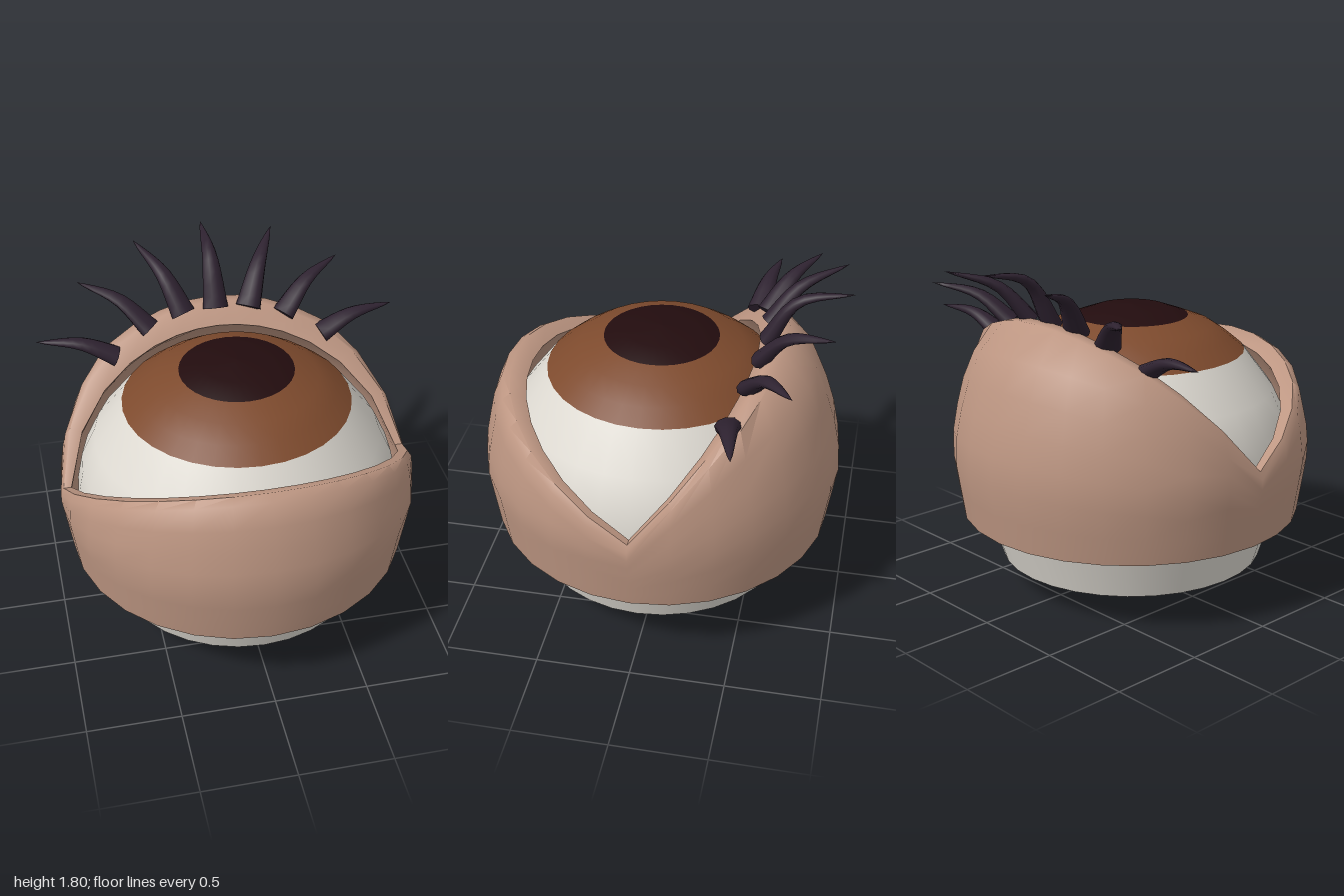
import * as THREE from 'three';
import { toCreasedNormals } from 'three/addons/utils/BufferGeometryUtils.js';

const mat = (name, color, side = THREE.FrontSide) => {
  const m = new THREE.MeshStandardMaterial({ color, side });
  m.name = name;
  return m;
};

function addMesh(parent, name, geometry, material) {
  const mesh = new THREE.Mesh(geometry, material);
  mesh.name = name;
  parent.add(mesh);
  return mesh;
}

const lathe = (points) =>
  new THREE.LatheGeometry(points.map(([r, y]) => new THREE.Vector2(r, y)), 32);

// Lid radius at a height: outer profile and inner sphere
const OUTER = [[0.41, 0.915], [0.75, 0.965], [0.9, 0.95], [1.12, 0.9], [1.36, 0.8], [1.555, 0.61], [1.7, 0.4]];
function outerRadius(y) {
  let i = 0;
  while (i < OUTER.length - 2 && y > OUTER[i + 1][0]) i++;
  const [y0, r0] = OUTER[i], [y1, r1] = OUTER[i + 1];
  return r0 + (r1 - r0) * (y - y0) / (y1 - y0);
}
const innerRadius = (y) => Math.sqrt(Math.max(0, 0.92 ** 2 - (y - 0.64) ** 2));

// Height where a lid surface meets the sloping opening, which dips to a corner at each side
function rimHeight(radius, angle) {
  const c = Math.cos(angle);
  const slope = c > 0 ? 0.56 : 1.2;
  let lo = 0.41, hi = 1.7;
  for (let i = 0; i < 40; i++) {
    const y = (lo + hi) / 2;
    if (y < 0.82 + slope * radius(y) * Math.abs(c)) lo = y;
    else hi = y;
  }
  return lo;
}

// Closed shell: up the outside, over the rounded rim, down the inside
function lidGeometry() {
  const segments = 28, steps = 7, bottom = 0.41;
  const positions = [], index = [];
  let rows = 0;
  for (let j = 0; j < segments; j++) {
    const angle = (j / segments) * Math.PI * 2;
    const yo = rimHeight(outerRadius, angle), yi = rimHeight(innerRadius, angle);
    const profile = [];
    for (let i = 0; i <= steps; i++) {
      const y = bottom + (yo - 0.04 - bottom) * i / steps;
      profile.push([outerRadius(y), y]);
    }
    const ro = outerRadius(yo), ri = innerRadius(yi);
    profile.push([ro + (ri - ro) * 0.25, yo + (yi - yo) * 0.25]);
    for (let i = 0; i <= steps; i++) {
      const y = yi + (bottom - yi) * i / steps;
      profile.push([innerRadius(y), y]);
    }
    rows = profile.length;
    for (const [r, y] of profile) positions.push(r * Math.sin(angle), y, r * Math.cos(angle));
  }
  for (let j = 0; j < segments; j++) {
    for (let i = 0; i < rows; i++) {
      const a = j * rows + i, d = j * rows + (i + 1) % rows;
      const k = (j + 1) % segments;
      const b = k * rows + i, c = k * rows + (i + 1) % rows;
      index.push(a, b, c, a, c, d);
    }
  }
  const g = new THREE.BufferGeometry();
  g.setAttribute('position', new THREE.Float32BufferAttribute(positions, 3));
  g.setIndex(index);
  return toCreasedNormals(g, 1.0);
}

// Curved, tapering, slightly flattened spike with a closed base
function lashGeometry(points) {
  const [base, mid, tip] = points.map((p) => new THREE.Vector3(...p));
  const curve = new THREE.CatmullRomCurve3([base, mid, tip]);
  const wide = mid.clone().sub(base).cross(tip.clone().sub(mid)).normalize();
  const n = 10, sides = 10;
  const g = new THREE.TubeGeometry(curve, n, 1, sides);
  const pos = g.attributes.position, v = new THREE.Vector3();
  for (let i = 0; i <= n; i++) {
    const from = curve.getPointAt(i / n);
    const t = Math.max(0, (i - 1) / (n - 1));
    const to = curve.getPointAt(t);
    const size = i === 0 ? 0 : Math.pow(1 - t, 0.75);
    for (let s = 0; s <= sides; s++) {
      const k = i * (sides + 1) + s;
      v.fromBufferAttribute(pos, k).sub(from);
      const w = v.dot(wide);
      v.addScaledVector(wide, -w).multiplyScalar(0.045 * size);
      v.addScaledVector(wide, w * 0.07 * size).add(to);
      pos.setXYZ(k, v.x, v.y, v.z);
    }
  }
  return toCreasedNormals(g, 1.0);
}

export function createModel() {
  const model = new THREE.Group();
  model.name = 'eye';
  const white = mat('eye white', 0xdedad2);
  const brown = mat('iris brown', 0x7d4a2d);
  const dark = mat('pupil dark', 0x220c0e);
  const skin = mat('lid skin', 0xbd9682, THREE.DoubleSide);
  const lashColor = mat('lash dark violet', 0x2e2230);

  // Eyeball, looking straight up
  const ball = new THREE.Group();
  ball.name = 'eyeball';
  ball.position.z = 0.02;
  model.add(ball);
  addMesh(ball, 'eyeballBase', lathe([[0, 0], [0.71, 0.15]]), white);
  addMesh(ball, 'eyeWhite', lathe([[0.71, 0.15], [0.79, 0.41], [0.865, 0.64], [0.868, 0.76],
    [0.835, 0.92], [0.76, 1.08], [0.604, 1.285]]), white);
  addMesh(ball, 'iris', lathe([[0.604, 1.285], [0.52, 1.355], [0.43, 1.416], [0.302, 1.465]]), brown);
  addMesh(ball, 'pupil', lathe([[0.302, 1.465], [0.19, 1.505], [0, 1.52]]), dark);

  // Eyelids
  addMesh(model, 'eyelids', lidGeometry(), skin).position.z = 0.012;

  // Lashes along the upper lid: base, middle, tip, mirrored left and right
  const lashes = new THREE.Group();
  lashes.name = 'lashes';
  model.add(lashes);
  addMesh(lashes, 'centreLash', lashGeometry([[0, 1.5, -0.53], [0, 1.735, -0.68], [0, 1.805, -0.96]]), lashColor);
  const sideLashes = [
    [[0.18, 1.49, -0.52], [0.265, 1.67, -0.66], [0.39, 1.762, -0.9]],
    [[0.37, 1.44, -0.49], [0.52, 1.58, -0.59], [0.73, 1.632, -0.735]],
    [[0.57, 1.335, -0.42], [0.75, 1.42, -0.445], [0.99, 1.435, -0.49]],
  ];
  for (const side of [1, -1]) {
    for (const path of sideLashes) {
      const points = path.map(([x, y, z]) => [x * side, y, z]);
      addMesh(lashes, side > 0 ? 'leftLash' : 'rightLash', lashGeometry(points), lashColor);
    }
  }
  return model;
}
